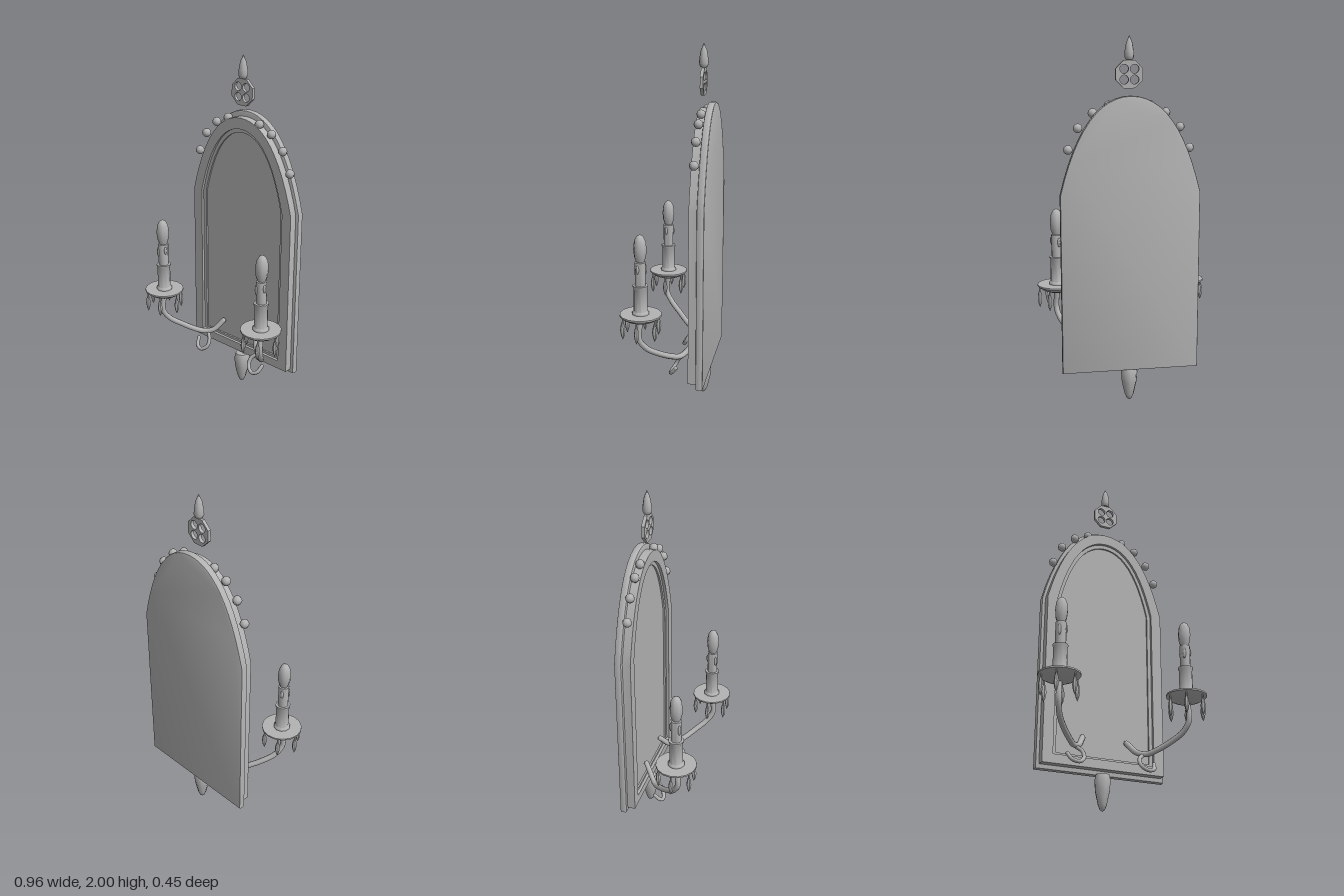
import * as THREE from 'three';
import { toCreasedNormals } from 'three/addons/utils/BufferGeometryUtils.js';

const metal = new THREE.MeshStandardMaterial({ color: 0xb3b3b3 });
metal.name = 'grey metal';

function part(name, geometry, parent, x = 0, y = 0, z = 0) {
  const mesh = new THREE.Mesh(geometry, metal);
  mesh.name = name;
  mesh.position.set(x, y, z);
  parent.add(mesh);
  return mesh;
}

// Turned part from [radius, height] pairs, bottom to top
function turned(profile, sides) {
  const points = profile.map(([r, y]) => new THREE.Vector2(r, y));
  return toCreasedNormals(new THREE.LatheGeometry(points, sides), 0.85);
}

// Pointed-arch window outline
function arch(half, bottom, spring, top, Type = THREE.Shape) {
  const s = new Type();
  s.moveTo(-half, bottom);
  s.lineTo(half, bottom);
  s.lineTo(half, spring);
  s.quadraticCurveTo(half * 0.667, top, 0, top);
  s.quadraticCurveTo(-half * 0.667, top, -half, spring);
  s.closePath();
  return s;
}

function slab(shape, depth, bevel = 0) {
  return toCreasedNormals(new THREE.ExtrudeGeometry(shape, {
    depth: depth - 2 * bevel, curveSegments: 12, bevelEnabled: bevel > 0,
    bevelSize: bevel, bevelThickness: bevel, bevelOffset: -bevel, bevelSegments: 2,
  }).translate(0, 0, bevel), 0.6);
}

// Round rod through points, with rounded ends
function rod(name, points, radius, parent) {
  const path = points.map((p) => new THREE.Vector3(...p));
  part(name, new THREE.TubeGeometry(new THREE.CatmullRomCurve3(path), 32, radius, 8), parent);
  for (const p of [path[0], path[path.length - 1]]) {
    part(name + 'End', new THREE.SphereGeometry(radius, 8, 6), parent, p.x, p.y, p.z);
  }
}

function buildSconce(side) {
  const sconce = new THREE.Group();
  sconce.name = side > 0 ? 'leftSconce' : 'rightSconce';
  const at = (points) => points.map(([x, y, z]) => [x * side, y, z]);

  // Curved arm and the small hook below it
  rod('arm', at([[0.37, 0.58, 0.11], [0.375, 0.47, 0.12], [0.355, 0.41, 0.085], [0.31, 0.365, 0.03],
    [0.25, 0.325, -0.03], [0.21, 0.31, -0.07], [0.17, 0.322, -0.1], [0.13, 0.38, -0.145]]), 0.016, sconce);
  rod('hook', at([[0.195, 0.305, -0.08], [0.165, 0.275, -0.058], [0.165, 0.235, -0.037],
    [0.2, 0.209, -0.02], [0.235, 0.22, -0.028], [0.25, 0.255, -0.055]]), 0.011, sconce);

  // Candle assembly
  const candle = new THREE.Group();
  candle.name = 'candleAssembly';
  candle.position.set(0.37 * side, 0, 0.11);
  sconce.add(candle);
  part('dripPan', turned([[0, 0.566], [0.05, 0.57], [0.085, 0.585], [0.112, 0.604], [0.112, 0.613], [0, 0.613]], 16), candle);
  part('candleCup', turned([[0.046, 0.61], [0.046, 0.622], [0.038, 0.63], [0.037, 0.755],
    [0.042, 0.765], [0.042, 0.772], [0, 0.772]], 10), candle);
  part('candle', turned([[0.029, 0.77], [0.03, 0.9], [0, 0.908]], 10), candle);
  part('bulb', turned([[0.02, 0.895], [0.032, 0.93], [0.036, 0.97], [0.031, 1.015], [0.018, 1.04], [0, 1.05]], 8), candle);

  // Wax drips
  for (const [angle, y, length] of [[0.3, 0.865, 0.05], [2.2, 0.85, 0.065], [4.3, 0.86, 0.055]]) {
    const drip = part('waxDrip', new THREE.SphereGeometry(1, 8, 6), candle,
      Math.cos(angle) * 0.028, y, Math.sin(angle) * 0.028);
    drip.scale.set(0.009, length / 2, 0.009);
  }

  // Hanging crystals
  const crystal = turned([[0, 0.477], [0.009, 0.5], [0.014, 0.53], [0.01, 0.56], [0.004, 0.58], [0.004, 0.604]], 6);
  for (let i = 0; i < 6; i++) {
    const a = (i * Math.PI) / 3;
    part('crystal', crystal, candle, Math.cos(a) * 0.1, 0, Math.sin(a) * 0.1);
  }
  return sconce;
}

export function createModel() {
  const model = new THREE.Group();
  model.name = 'wallMirrorWithSconces';

  // Backing board, frame, inner trim and mirror panel
  part('backBoard', slab(arch(0.375, 0.195, 1.18, 1.692), 0.04, 0.008), model, 0, 0, -0.226);
  const frame = arch(0.356, 0.22, 1.18, 1.66);
  frame.holes.push(arch(0.296, 0.27, 1.18, 1.598, THREE.Path));
  part('frame', slab(frame, 0.046), model, 0, 0, -0.188);
  const trim = arch(0.296, 0.27, 1.18, 1.598);
  trim.holes.push(arch(0.275, 0.284, 1.18, 1.575, THREE.Path));
  part('innerTrim', slab(trim, 0.03), model, 0, 0, -0.188);
  part('mirror', slab(arch(0.28, 0.28, 1.18, 1.58), 0.02), model, 0, 0, -0.188);

  // Beads along the arch
  const bead = new THREE.SphereGeometry(0.025, 8, 6);
  for (const side of [1, -1]) {
    for (const [x, y] of [[0.325, 1.412], [0.273, 1.524], [0.195, 1.602], [0.111, 1.641]]) {
      part('bead', bead, model, x * side, y, -0.163);
    }
    model.add(buildSconce(side));
  }

  // Pierced rosette above the arch
  const rosette = new THREE.Shape();
  for (let i = 0; i < 8; i++) {
    const a = ((i + 0.5) * Math.PI) / 4;
    rosette[i ? 'lineTo' : 'moveTo'](Math.cos(a) * 0.078, Math.sin(a) * 0.078);
  }
  rosette.closePath();
  for (let i = 0; i < 4; i++) {
    const a = ((i + 0.5) * Math.PI) / 2;
    const hole = new THREE.Path();
    hole.absarc(Math.cos(a) * 0.039, Math.sin(a) * 0.039, 0.023, 0, Math.PI * 2, true);
    rosette.holes.push(hole);
  }
  part('rosette', slab(rosette, 0.018), model, 0, 1.8, -0.166);

  // Spire finial and bottom pendant
  part('finial', turned([[0, 1.872], [0.018, 1.874], [0.026, 1.89], [0.024, 1.92], [0.017, 1.96], [0, 2]], 8),
    model, 0, 0, -0.157);
  part('pendant', turned([[0, 0], [0.015, 0.012], [0.025, 0.035], [0.042, 0.11], [0.046, 0.165],
    [0.038, 0.197], [0, 0.203]], 8), model, 0, 0, -0.17);

  return model;
}
